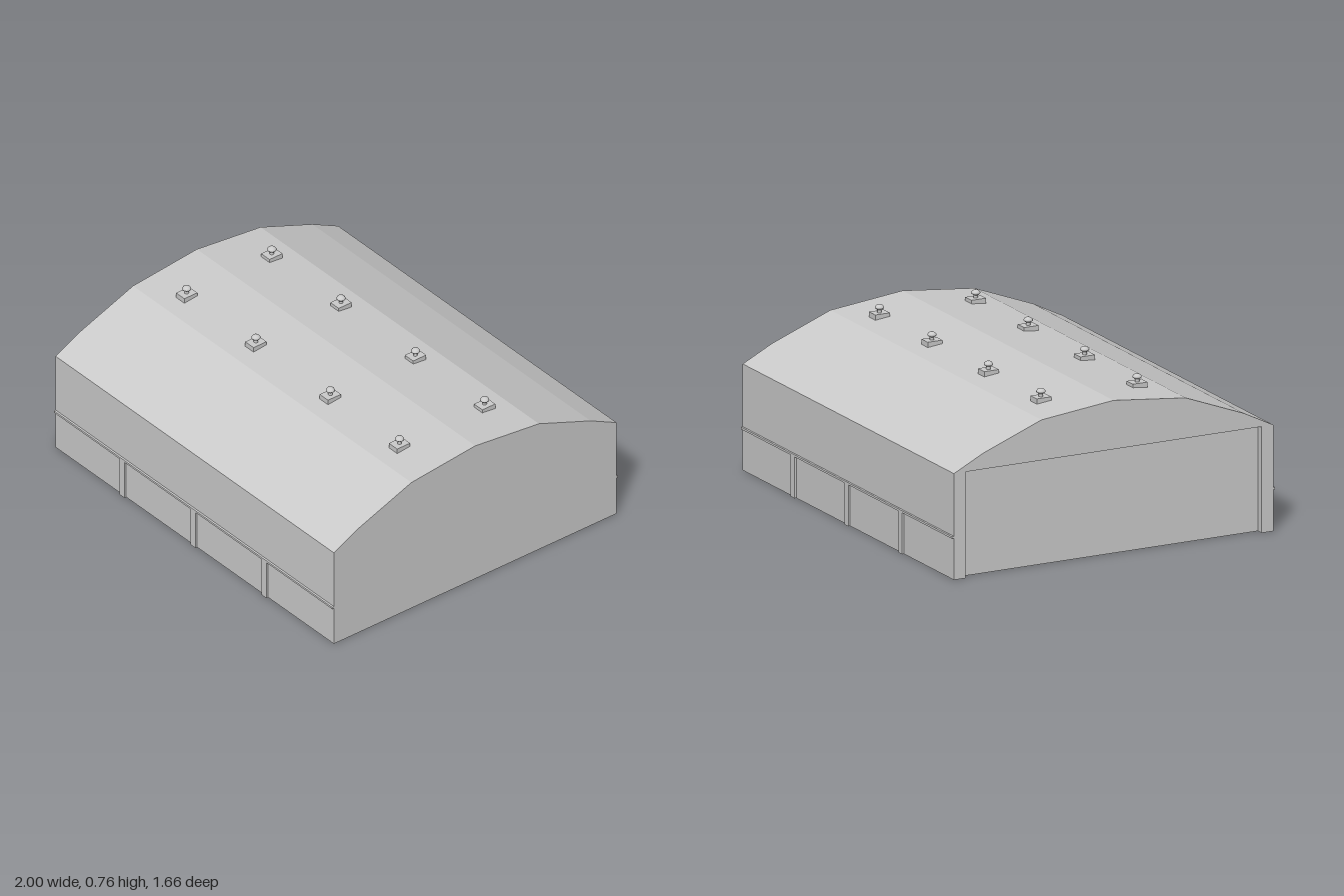
import * as THREE from 'three';

const material = new THREE.MeshStandardMaterial({ color: 0xcccccc, flatShading: true });
const smooth = new THREE.MeshStandardMaterial({ color: 0xcccccc });

// Half of the roof line, from eave to ridge, as [z, y]
const roof = [[0.82, 0.5], [0.67, 0.575], [0.37, 0.69]];
const roofLine = [...roof, [0, 0.73], ...roof.map(([z, y]) => [-z, y]).reverse()];

function add(parent, name, geometry, x = 0, y = 0, z = 0, mat = material) {
  const mesh = new THREE.Mesh(geometry, mat);
  mesh.name = name;
  mesh.position.set(x, y, z);
  parent.add(mesh);
  return mesh;
}

// Extrude a z-y outline along x, from x0 to x1
function section(points, x0, x1) {
  const shape = new THREE.Shape(points.map(([z, y]) => new THREE.Vector2(z, y)));
  const geometry = new THREE.ExtrudeGeometry(shape, { depth: x1 - x0, bevelEnabled: false });
  return geometry.rotateY(Math.PI / 2).translate(x0, 0, 0);
}

// Roof ventilator: square curb, stem and domed cap
function createVent() {
  const vent = new THREE.Group();
  vent.name = 'roofVent';
  add(vent, 'ventBase', new THREE.BoxGeometry(0.06, 0.028, 0.075), 0, 0.71, 0);
  add(vent, 'ventStem', new THREE.CylinderGeometry(0.01, 0.01, 0.024, 12), 0, 0.732, 0, smooth);
  const cap = [[0, 0.738], [0.012, 0.738], [0.021, 0.745], [0.021, 0.75], [0.016, 0.757], [0.008, 0.761], [0, 0.762]];
  add(vent, 'ventCap', new THREE.LatheGeometry(cap.map(([r, y]) => new THREE.Vector2(r, y)), 14), 0, 0, 0, smooth);
  return vent;
}

export function createModel() {
  const model = new THREE.Group();
  model.name = 'archedRoofHall';

  // Main hall, with a shallow recessed opening in the -x end
  const recessX = -0.965;
  add(model, 'hall', section([[-0.82, 0], [0.82, 0], ...roofLine], recessX, 1));
  add(model, 'endFrame', section([
    [0.76, 0], [0.82, 0], ...roofLine,
    [-0.82, 0], [-0.76, 0], [-0.76, 0.5], [0.76, 0.5],
  ], -1, recessX));

  // Belt course and pilasters on both long walls
  for (const side of [1, -1]) {
    const z = side * 0.82;
    add(model, 'beltCourse', new THREE.BoxGeometry(2, 0.01, 0.02), 0, 0.2, z);
    for (const x of [-0.51, 0, 0.51]) {
      add(model, 'pilaster', new THREE.BoxGeometry(0.036, 0.198, 0.02), x, 0.099, z);
    }
  }

  // Two rows of roof vents
  for (const z of [0.247, -0.247]) {
    for (const x of [-0.767, -0.27, 0.265, 0.762]) {
      const vent = createVent();
      vent.position.set(x, 0, z);
      model.add(vent);
    }
  }
  return model;
}
